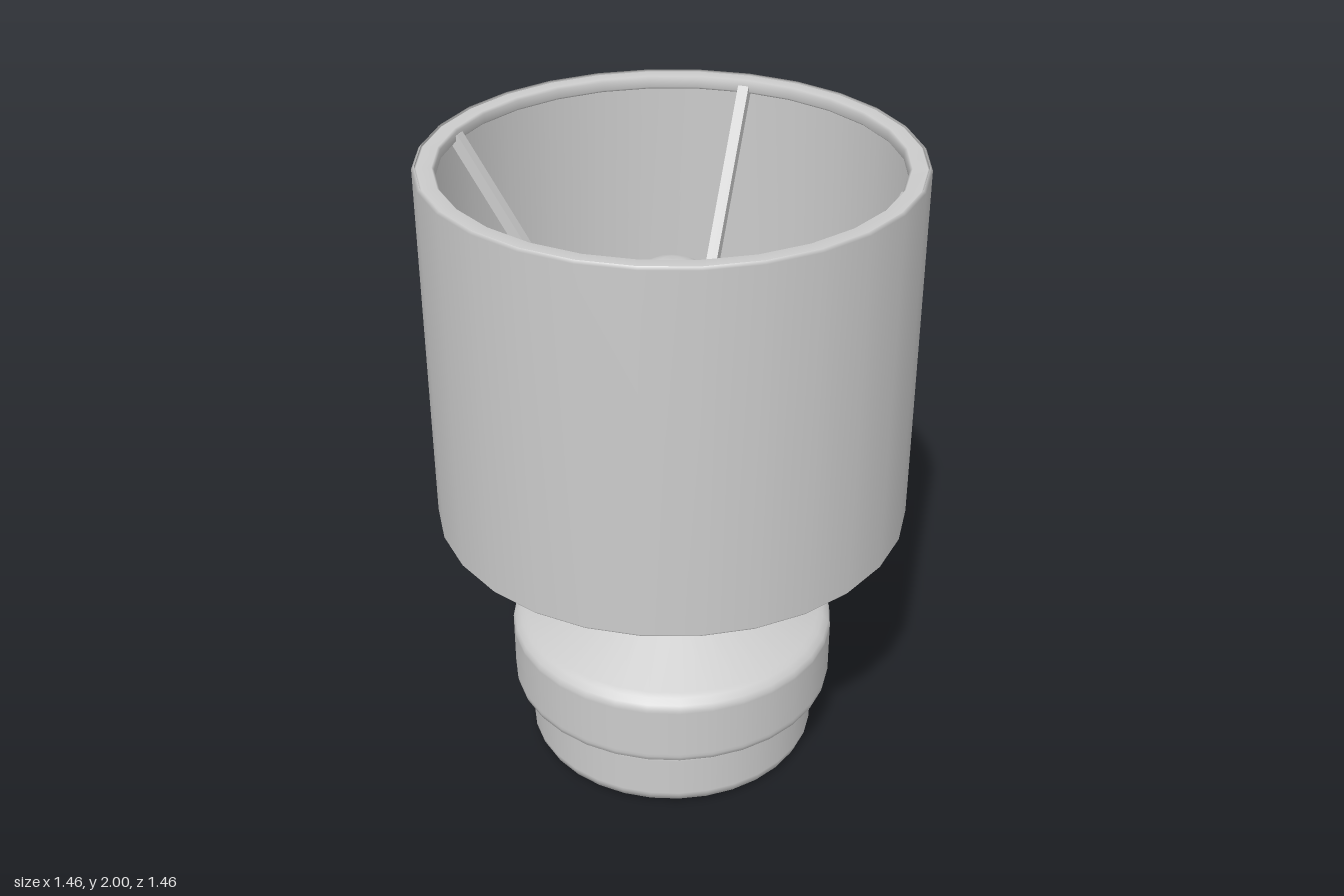
import * as THREE from 'three';

const material = new THREE.MeshStandardMaterial({ color: 0xcccccc });
const openMaterial = new THREE.MeshStandardMaterial({ color: 0xcccccc, side: THREE.DoubleSide });

// Turned part from [radius, height] pairs, listed from bottom to top
function turned(name, profile, sides, mat = material) {
  const points = profile.map(([r, y]) => new THREE.Vector2(r, y));
  const mesh = new THREE.Mesh(new THREE.LatheGeometry(points, sides), mat);
  mesh.name = name;
  return mesh;
}

// Square bar between two points
function bar(name, from, to, width) {
  const mesh = new THREE.Mesh(new THREE.BoxGeometry(width, width, from.distanceTo(to)), material);
  mesh.position.copy(from).add(to).multiplyScalar(0.5);
  mesh.lookAt(to);
  mesh.name = name;
  return mesh;
}

export function createModel() {
  const lamp = new THREE.Group();
  lamp.name = 'tableLamp';

  // Foot: low drum with softened edges
  lamp.add(turned('foot', [
    [0, 0], [0.42, 0], [0.432, 0.002], [0.452, 0.014], [0.462, 0.035], [0.462, 0.045],
    [0.462, 0.175], [0.462, 0.185], [0.456, 0.203], [0.44, 0.214], [0.42, 0.216], [0, 0.216],
  ], 32));

  // Body: wide drum, sloping shoulder and tapered neck
  lamp.add(turned('body', [
    [0, 0.215], [0.49, 0.215], [0.502, 0.217], [0.513, 0.226], [0.516, 0.24], [0.516, 0.25],
    [0.516, 0.41], [0.516, 0.42], [0.51, 0.437], [0.492, 0.452], [0.475, 0.46],
    [0.18, 0.594], [0.16, 0.604], [0.144, 0.617], [0.135, 0.635], [0.131, 0.66],
    [0.108, 0.86], [0.092, 1.0], [0.088, 1.015], [0.075, 1.02], [0, 1.02],
  ], 32));

  // Hub carrying the shade arms, socket and bulb
  lamp.add(turned('hub', [[0, 1.015], [0.095, 1.015], [0.1, 1.02], [0.1, 1.045], [0.095, 1.05], [0, 1.05]], 24));
  lamp.add(turned('socket', [
    [0, 1.04], [0.06, 1.04], [0.068, 1.05], [0.085, 1.18], [0.085, 1.2], [0.078, 1.205], [0, 1.205],
  ], 16));
  const bulbProfile = [[0.065, 1.19], [0.07, 1.25], [0.09, 1.32], [0.12, 1.39]];
  for (let i = 0; i <= 10; i++) {
    const a = -0.5 + (Math.PI / 2 + 0.5) * i / 10;
    bulbProfile.push([i === 10 ? 0 : 0.165 * Math.cos(a), 1.515 + 0.165 * Math.sin(a)]);
  }
  lamp.add(turned('bulb', bulbProfile, 16));

  // Thin open shade with a flat ring inside its top edge
  lamp.add(turned('shade', [[0.722, 0.86], [0.728, 0.868], [0.728, 1.992], [0.72, 2]], 28, openMaterial));
  lamp.add(turned('shadeRing', [
    [0.72, 1.955], [0.72, 1.992], [0.715, 1.995], [0.672, 1.995], [0.665, 1.988],
    [0.665, 1.962], [0.672, 1.955], [0.72, 1.955],
  ], 28));

  // Four arms from the hub up to the ring
  for (let i = 0; i < 4; i++) {
    const a = i * Math.PI / 2;
    const at = (r, y) => new THREE.Vector3(r * Math.sin(a), y, r * Math.cos(a));
    lamp.add(bar('shadeArm', at(0.08, 1.035), at(0.672, 1.972), 0.034));
  }

  return lamp;
}
